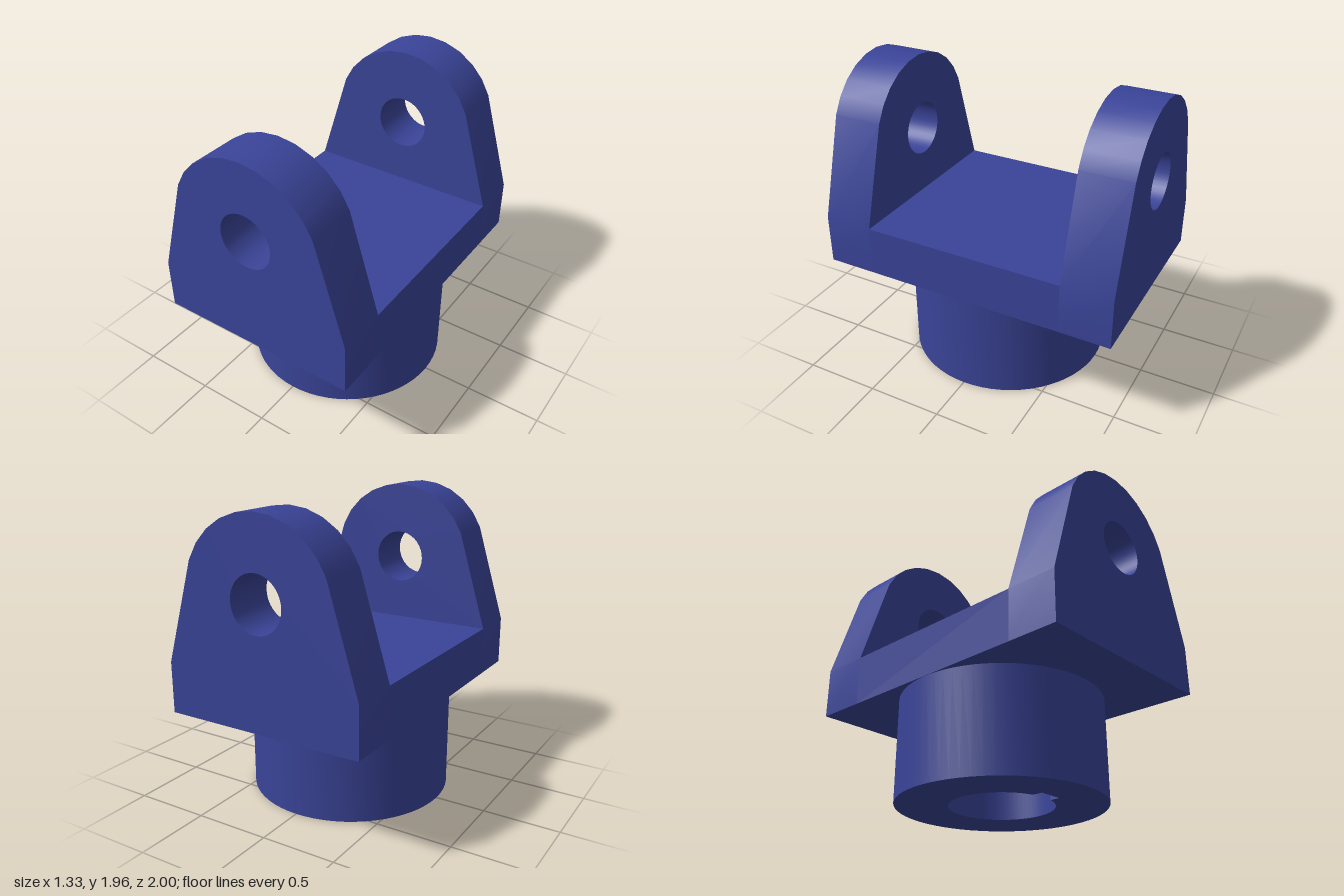
import * as THREE from 'three';
import { toCreasedNormals } from 'three/addons/utils/BufferGeometryUtils.js';

const W = 0.667;        // half width of the yoke, also the hub radius
const PLATE_Y = 0.67;   // underside of the plate
const PLATE_TOP = 1.0;
const PIN_Y = 1.445;    // height of the pin holes

const material = new THREE.MeshStandardMaterial({ color: 0x3a4498 });

function addMesh(parent, name, geometry) {
  const mesh = new THREE.Mesh(geometry, material);
  mesh.name = name;
  parent.add(mesh);
  return mesh;
}

function extrude(shape, depth, curveSegments) {
  const geometry = new THREE.ExtrudeGeometry(shape, { depth, curveSegments, bevelEnabled: false });
  return toCreasedNormals(geometry, 0.5);
}

// Fork arm: straight foot, tapered flanks, faceted round top and a pin hole
function armGeometry() {
  const shape = new THREE.Shape();
  shape.moveTo(-W, PLATE_Y);
  shape.lineTo(W, PLATE_Y);
  shape.lineTo(W, PLATE_TOP);
  const radius = 0.512, start = THREE.MathUtils.degToRad(23.5), steps = 10;
  for (let i = 0; i <= steps; i++) {
    const a = start + (Math.PI - 2 * start) * i / steps;
    shape.lineTo(radius * Math.cos(a), PIN_Y + radius * Math.sin(a));
  }
  shape.lineTo(-W, PLATE_TOP);
  shape.closePath();
  const hole = new THREE.Path();
  hole.absarc(0, PIN_Y, 0.178, 0, Math.PI * 2, true);
  shape.holes.push(hole);
  return extrude(shape, 1 - W, 18);
}

// Round hub with a blind bore and a keyway towards the front
function hubGeometry() {
  const shape = new THREE.Shape();
  shape.absarc(0, 0, W - 0.002, 0, Math.PI * 2, false);
  const bore = 0.333, keyHalf = 0.08, keyEnd = 0.39;
  const a = Math.asin(keyHalf / bore);
  const hole = new THREE.Path();
  hole.absarc(0, 0, bore, Math.PI / 2 + a, Math.PI * 2.5 - a, false);
  hole.lineTo(keyHalf, keyEnd);
  hole.lineTo(-keyHalf, keyEnd);
  hole.closePath();
  shape.holes.push(hole);
  return extrude(shape, PLATE_Y, 32).rotateX(Math.PI / 2).translate(0, PLATE_Y, 0);
}

export function createModel() {
  const group = new THREE.Group();
  group.name = 'forkYoke';

  addMesh(group, 'hub', hubGeometry());

  // Plate joining the two arms
  const plate = new THREE.BoxGeometry(2 * W, PLATE_TOP - PLATE_Y, 2 * W);
  addMesh(group, 'plate', plate).position.y = (PLATE_TOP + PLATE_Y) / 2;

  const arm = armGeometry();
  addMesh(group, 'frontArm', arm).position.z = W;
  addMesh(group, 'backArm', arm).position.z = -1;

  return group;
}
